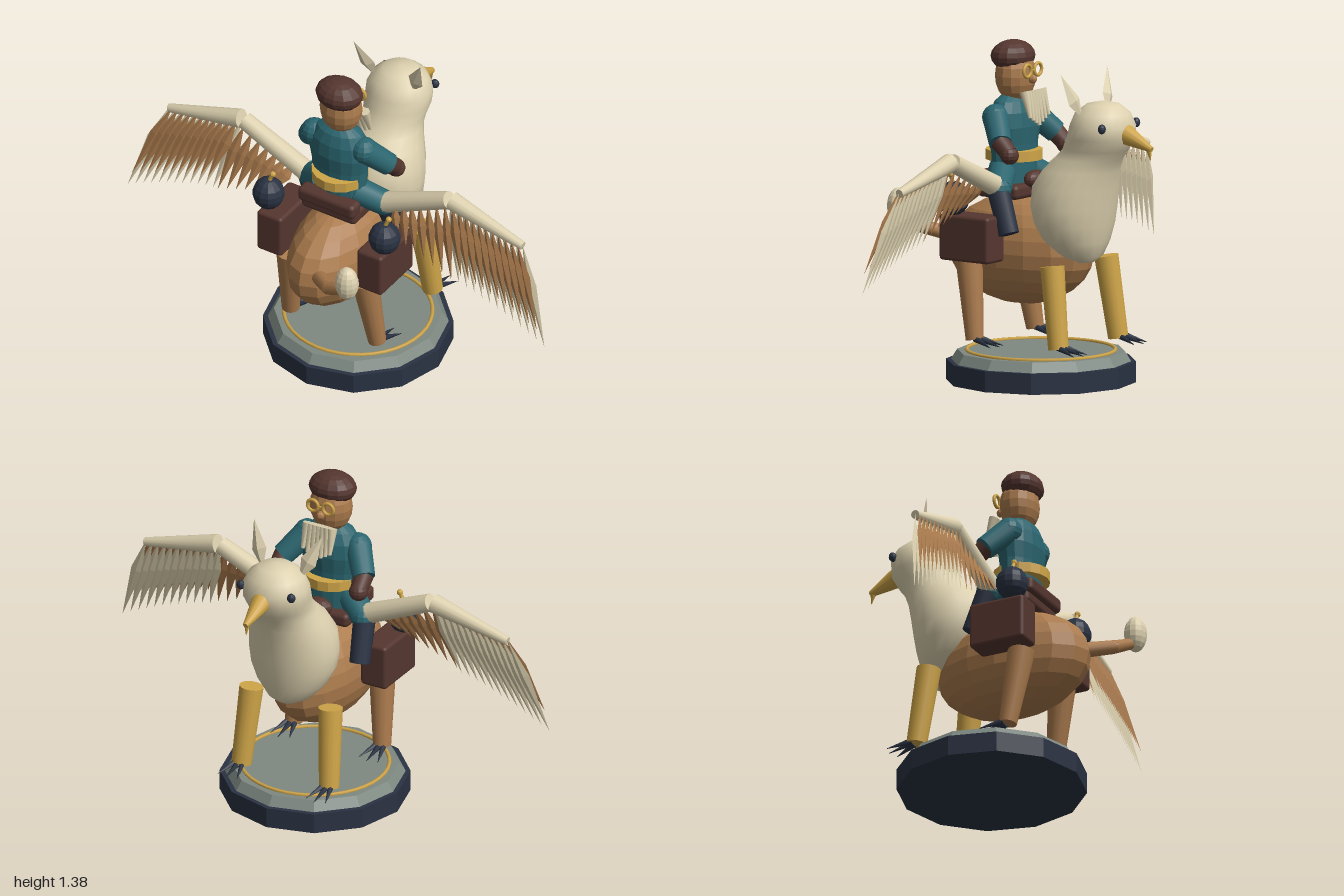
import * as THREE from 'three';
import { mergeVertices } from 'three/addons/utils/BufferGeometryUtils.js';
import { RoundedBoxGeometry } from 'three/addons/geometries/RoundedBoxGeometry.js';

const V = (x, y, z) => new THREE.Vector3(x, y, z);

export function createModel() {
  const model = new THREE.Group();
  const mat = (name, color) => {
    const m = new THREE.MeshStandardMaterial({ color });
    m.name = name;
    return m;
  };
  const cream = mat('cream', 0xddd1af), brown = mat('tawny brown', 0xab7b4d), gold = mat('gold', 0xcfa548);
  const navy = mat('navy', 0x2a3242), stone = mat('stone grey', 0x7e8982);
  const leather = mat('dark leather', 0x55362f), teal = mat('teal', 0x2b6670);

  const add = (name, geo, material, pos, scale) => {
    const m = new THREE.Mesh(geo, material);
    m.name = name;
    if (pos) m.position.set(...pos);
    if (scale) m.scale.set(...scale);
    model.add(m);
    return m;
  };
  // Faceted copy of a geometry
  const flat = (g) => {
    const f = g.toNonIndexed();
    f.computeVertexNormals();
    return f;
  };
  const ball = (name, material, pos, size, w = 14, h = 10) =>
    add(name, flat(new THREE.SphereGeometry(1, w, h)), material, pos, size);
  // Turn a mesh so its y axis runs along a direction and its flat side faces z
  const aim = (m, dir) => {
    const y = dir.clone().normalize();
    const x = y.clone().cross(V(0, 0, 1)).normalize();
    const z = x.clone().cross(y);
    m.quaternion.setFromRotationMatrix(new THREE.Matrix4().makeBasis(x, y, z));
  };
  // Tapered rod from a to b
  const rod = (name, material, a, b, ra, rb, sides = 14) => {
    const dir = b.clone().sub(a);
    const m = add(name, new THREE.CylinderGeometry(rb, ra, dir.length(), sides), material);
    m.position.copy(a).add(b).multiplyScalar(0.5);
    m.quaternion.setFromUnitVectors(V(0, 1, 0), dir.normalize());
    return m;
  };
  // Four-sided pointed leaf from a to b, used for feathers and ears
  const leafGeo = flat(new THREE.LatheGeometry(
    [new THREE.Vector2(0, 0), new THREE.Vector2(1, 0.4), new THREE.Vector2(0, 1)], 4));
  const leaf = (name, material, a, b, width, thick) => {
    const dir = b.clone().sub(a);
    const m = add(name, leafGeo, material, a.toArray(), [width, dir.length(), thick]);
    aim(m, dir);
    return m;
  };

  // Display base
  add('baseFoot', flat(new THREE.CylinderGeometry(0.385, 0.385, 0.085, 12)), navy, [0, 0.0425, 0]);
  add('baseTop', flat(new THREE.CylinderGeometry(0.34, 0.365, 0.04, 12)), stone, [0, 0.105, 0]);
  const ring = add('baseRing', new THREE.TorusGeometry(0.3, 0.008, 6, 40), gold, [0, 0.128, 0]);
  ring.rotation.x = Math.PI / 2;

  // Hindquarters
  ball('hindBody', brown, [0, 0.53, 0.1], [0.178, 0.222, 0.34], 16, 12);

  // Feathered chest, neck and head: rows of [y, back z, front z, half width], top down
  const rows = [
    [1.17, -0.31, -0.31, 0], [1.155, -0.24, -0.38, 0.07], [1.12, -0.195, -0.42, 0.115],
    [1.07, -0.175, -0.44, 0.138], [1.02, -0.16, -0.437, 0.138], [0.97, -0.135, -0.41, 0.128],
    [0.93, -0.1, -0.38, 0.132], [0.88, -0.045, -0.36, 0.155], [0.81, 0, -0.345, 0.182],
    [0.73, 0.005, -0.332, 0.19], [0.66, -0.012, -0.32, 0.182], [0.59, -0.05, -0.305, 0.15],
    [0.53, -0.11, -0.285, 0.095], [0.505, -0.16, -0.255, 0.045], [0.5, -0.21, -0.21, 0],
  ];
  const sides = 20;
  let chest = new THREE.CylinderGeometry(1, 1, 1, sides, rows.length - 1, true);
  const p = chest.attributes.position;
  for (let i = 0; i < p.count; i++) {
    const [y, back, front, w] = rows[Math.floor(i / (sides + 1))];
    p.setXYZ(i, p.getX(i) * w, y, (back + front) / 2 + p.getZ(i) * (back - front) / 2);
  }
  chest.deleteAttribute('uv');
  chest.deleteAttribute('normal');
  chest = mergeVertices(chest, 1e-5);
  chest.computeVertexNormals();
  add('chestAndHead', chest, cream);

  // Hooked beak
  rod('beak', gold, V(0, 1.045, -0.41), V(0, 0.99, -0.55), 0.046, 0.012, 10);
  rod('beakHook', gold, V(0, 1.0, -0.535), V(0, 0.945, -0.545), 0.015, 0.001, 8);

  // Tail with tuft
  rod('tailBase', brown, V(0.04, 0.56, 0.37), V(0.16, 0.605, 0.47), 0.032, 0.028, 10);
  ball('tailBend', brown, [0.16, 0.605, 0.47], [0.028, 0.028, 0.028], 10, 8);
  rod('tailEnd', brown, V(0.16, 0.605, 0.47), V(0.27, 0.66, 0.505), 0.028, 0.022, 10);
  ball('tailTuft', cream, [0.275, 0.7, 0.51], [0.05, 0.076, 0.046], 12, 10);

  // Saddle
  add('saddleSeat', new RoundedBoxGeometry(0.26, 0.06, 0.2, 2, 0.02), leather, [0, 0.775, 0.13]);
  add('saddleCantle', new RoundedBoxGeometry(0.27, 0.065, 0.07, 2, 0.02), leather, [0, 0.82, 0.215]);
  ball('saddlePommel', leather, [0, 0.82, 0.03], [0.06, 0.037, 0.037]);

  // Rider body
  const torsoProfile = [[0, 0.8], [0.125, 0.8], [0.122, 0.88], [0.125, 0.96], [0.138, 1.03],
    [0.128, 1.09], [0.1, 1.135], [0.06, 1.16], [0, 1.165]].map(([r, y]) => new THREE.Vector2(r, y));
  add('riderTorso', flat(new THREE.LatheGeometry(torsoProfile, 16)), teal, [0, 0, 0.135], [1, 1, 0.62]);
  add('belt', flat(new THREE.CylinderGeometry(0.116, 0.116, 0.042, 16)), gold, [0, 0.915, 0.135]);

  // Rider head, beret and beard
  ball('riderHead', brown, [0, 1.235, 0.127], [0.09, 0.112, 0.08]);
  ball('hat', leather, [0, 1.314, 0.14], [0.102, 0.064, 0.084]);
  ball('nose', brown, [0, 1.225, 0.043], [0.018, 0.018, 0.02], 8, 6);
  for (let i = -3; i <= 3; i++) {
    const x = i * 0.019, end = 1.04 + Math.abs(i) * 0.012;
    rod('beardLock', cream, V(x, 1.18, 0.04), V(x * 1.1, end, 0.008), 0.021, 0.008, 8);
  }
  rod('goggleBridge', gold, V(-0.012, 1.262, 0.042), V(0.012, 1.262, 0.042), 0.005, 0.005, 6);

  // Wing feather tips: [root x, root y, tip x, tip y]
  const feathers = [];
  const lerp = THREE.MathUtils.lerp;
  for (let i = 0; i < 7; i++) {
    const t = i / 6;
    feathers.push([lerp(0.24, 0.48, t), lerp(0.83, 0.93, t), lerp(0.3, 0.56, t), lerp(0.72, 0.62, t), brown]);
  }
  for (let i = 0; i < 12; i++) {
    const t = i / 11;
    const rx = lerp(0.5, 0.845, t), ry = lerp(0.94, 0.865, t);
    const tx = lerp(0.59, 1.0, t), ty = lerp(0.61, 0.455, t ** 1.3);
    feathers.push([rx, ry, tx, ty, cream]);
    if (i < 11) feathers.push([rx + 0.015, ry, lerp(rx, tx, 0.85) + 0.03, lerp(ry, ty, 0.84), brown]);
  }

  for (const s of [-1, 1]) {
    const side = s > 0 ? 'left' : 'right';
    const S = (x, y, z) => V(s * x, y, z);

    // Eyes and ears
    ball(side + 'Eye', navy, [s * 0.118, 1.073, -0.388], [0.018, 0.02, 0.016], 10, 8);
    leaf(side + 'Ear', cream, S(0.085, 1.1, -0.27), S(0.16, 1.285, -0.213), 0.036, 0.016);

    // Legs and claws
    rod(side + 'Foreleg', gold, S(0.205, 0.172, -0.235), S(0.185, 0.505, -0.19), 0.042, 0.05);
    rod(side + 'HindLeg', brown, S(0.207, 0.175, 0.18), S(0.18, 0.5, 0.228), 0.037, 0.056);
    for (const z of [-0.235, 0.18]) for (const f of [-1, 0, 1])
      rod(side + 'Claw', navy, S(0.207 + f * 0.015, 0.182, z - 0.015),
        S(0.207 + f * 0.045, 0.157, z - 0.125 + Math.abs(f) * 0.015), 0.014, 0.001, 6);

    // Saddlebag, round flask and its stopper
    add(side + 'Saddlebag', new RoundedBoxGeometry(0.12, 0.19, 0.245, 2, 0.015), leather, [s * 0.24, 0.598, 0.172]);
    ball(side + 'Flask', navy, [s * 0.278, 0.757, 0.235], [0.066, 0.07, 0.066], 12, 9);
    rod(side + 'FlaskNeck', gold, V(s * 0.278, 0.81, 0.235), V(s * 0.278 + 0.018, 0.855, 0.235), 0.009, 0.008, 8);
    ball(side + 'FlaskStopper', gold, [s * 0.278 + 0.02, 0.857, 0.235], [0.013, 0.013, 0.013], 8, 6);

    // Rider legs
    rod(side + 'Thigh', teal, S(0.07, 0.86, 0.14), S(0.18, 0.795, 0.08), 0.058, 0.052);
    ball(side + 'Knee', teal, [s * 0.18, 0.795, 0.08], [0.052, 0.052, 0.052], 12, 8);
    rod(side + 'Boot', navy, S(0.185, 0.79, 0.078), S(0.2, 0.62, 0.015), 0.046, 0.042, 12);

    // Rider arms and gloves
    ball(side + 'Shoulder', teal, [s * 0.12, 1.075, 0.14], [0.055, 0.055, 0.055], 12, 8);
    rod(side + 'Sleeve', teal, S(0.12, 1.075, 0.14), S(0.19, 0.985, 0.065), 0.054, 0.047);
    rod(side + 'Glove', leather, S(0.187, 0.99, 0.07), S(0.192, 0.945, 0.02), 0.04, 0.036);
    ball(side + 'Hand', leather, [s * 0.192, 0.94, 0.018], [0.04, 0.038, 0.038], 12, 8);

    // Goggles
    add(side + 'Goggle', new THREE.TorusGeometry(0.025, 0.007, 8, 18), gold, [s * 0.036, 1.262, 0.042]);

    // Wing bones
    rod(side + 'WingInner', cream, S(0.17, 0.8, 0.09), S(0.49, 0.94, 0.085), 0.044, 0.037, 12);
    rod(side + 'WingOuter', cream, S(0.505, 0.942, 0.085), S(0.848, 0.858, 0.09), 0.04, 0.018, 12);

    // Feathers, drooping slightly backwards
    for (const [rx, ry, tx, ty, color] of feathers) {
      const inFront = color === brown ? 0.012 : 0;
      leaf(side + 'Feather', color, S(rx, ry, 0.09 + inFront), S(tx, ty, 0.165 + inFront), 0.026, 0.008);
    }
  }
  return model;
}
